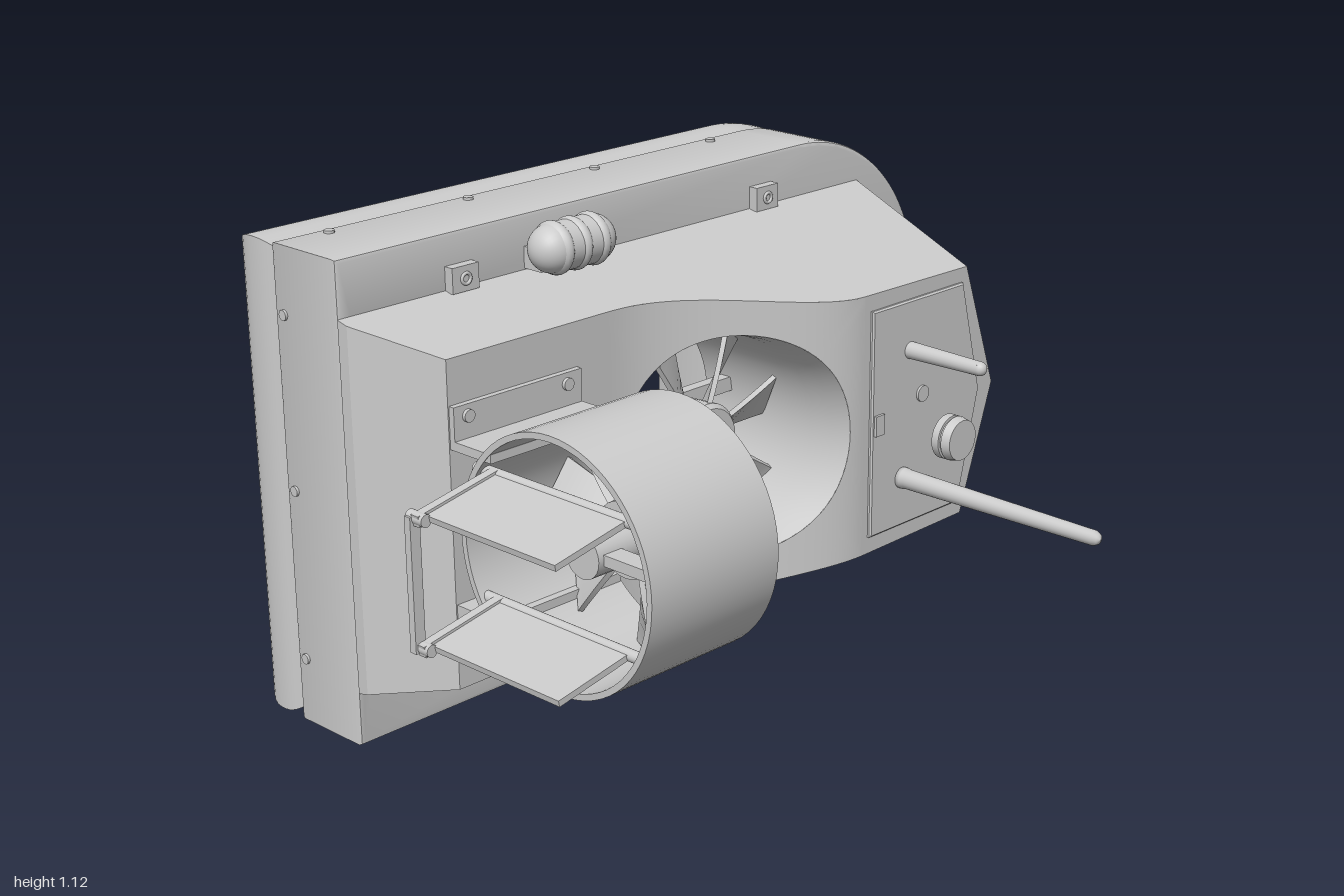
import * as THREE from 'three';
import { toCreasedNormals } from 'three/addons/utils/BufferGeometryUtils.js';
import { ConvexGeometry } from 'three/addons/geometries/ConvexGeometry.js';
import { ParametricGeometry } from 'three/addons/geometries/ParametricGeometry.js';

const grey = new THREE.MeshStandardMaterial({ color: 0xcccccc });
const shellGrey = new THREE.MeshStandardMaterial({ color: 0xcccccc, side: THREE.DoubleSide });
const { lerp, smoothstep } = THREE.MathUtils;
const V = (x, y, z) => new THREE.Vector3(x, y, z);

export function createModel() {
  const model = new THREE.Group();
  // The craft lies on its side: length along x, beam along y, its deck faces +z
  const craft = new THREE.Group();
  craft.name = 'hovercraft';
  craft.position.y = 0.555;
  model.add(craft);

  function add(name, geo, x = 0, y = 0, z = 0, parent = craft, mat = grey) {
    const m = new THREE.Mesh(geo, mat);
    m.name = name;
    m.position.set(x, y, z);
    parent.add(m);
    return m;
  }
  const box = (name, w, h, d, x, y, z, parent) => add(name, new THREE.BoxGeometry(w, h, d), x, y, z, parent);
  // cylinder standing on the deck, from z0 to z1
  const post = (name, r0, r1, z0, z1, x, y, parent) =>
    add(name, new THREE.CylinderGeometry(r1, r0, z1 - z0, 24).rotateX(Math.PI / 2), x, y, (z0 + z1) / 2, parent);
  const sheet = (name, fn, nu, nv) => add(name,
    toCreasedNormals(new ParametricGeometry((u, v, p) => p.set(...fn(u, v)), nu, nv), 0.5), 0, 0, 0, craft, shellGrey);

  // Plan outline: square stern, rounded bow
  function outline() {
    const s = new THREE.Shape();
    s.moveTo(-0.89, -0.555);
    s.lineTo(0.54, -0.555);
    s.absarc(0.54, -0.105, 0.45, -Math.PI / 2, 0);
    s.absarc(0.54, 0.105, 0.45, 0, Math.PI / 2);
    s.lineTo(-0.89, 0.555);
    s.closePath();
    return s;
  }
  const rectHole = (x0, x1, h) => new THREE.Path([[x0, -h], [x0, h], [x1, h], [x1, -h]].map(p => new THREE.Vector2(...p)));

  // Inflated skirt with a central slot
  const skirt = outline();
  skirt.holes.push(rectHole(-0.27, 0.5, 0.1));
  add('skirt', toCreasedNormals(new THREE.ExtrudeGeometry(skirt, {
    depth: 0.015, curveSegments: 20, bevelSize: 0.08, bevelThickness: 0.08, bevelOffset: -0.08, bevelSegments: 8,
  }), 0.6), 0, 0, -0.63);

  // Hull rim
  const rim = outline();
  rim.holes.push(rectHole(-0.84, 0.25, 0.39));
  add('hullRim', toCreasedNormals(new THREE.ExtrudeGeometry(rim, {
    depth: 0.195, curveSegments: 20, bevelSize: 0.01, bevelThickness: 0.01, bevelOffset: -0.01, bevelSegments: 2,
  }), 0.6), 0, 0, -0.545);

  // Screws round the rim
  const screw = (x, y, dx, dy) => {
    const m = add('rimScrew', new THREE.CylinderGeometry(0.012, 0.012, 0.012, 12), x, y, -0.522);
    m.quaternion.setFromUnitVectors(V(0, 1, 0), V(dx, dy, 0));
  };
  for (const s of [-1, 1]) {
    for (const x of [-0.76, -0.37, 0.02, 0.41]) screw(x, s * 0.555, 0, s);
    for (const a of [1.08, 0.52]) screw(0.54 + 0.45 * Math.cos(a), s * (0.105 + 0.45 * Math.sin(a)), Math.cos(a), s * Math.sin(a));
    screw(0.99, s * 0.1, 1, 0);
    screw(-0.89, s * 0.4, -1, 0);
  }
  screw(-0.89, 0, -1, 0);

  // Upper body: deck height along x, and half width of the sloping sides
  const deckZ = x => x < -0.8 ? lerp(-0.31, -0.105, (x + 0.89) / 0.09)
    : lerp(-0.105, 0.115, smoothstep(Math.pow(Math.max(0, (x + 0.35) / 0.61), 1.2), 0, 1));
  const halfW = z => 0.427 - 0.107 * (z + 0.34) / 0.455;
  const alongX = u => u < 0.05 ? lerp(-0.89, -0.8, u / 0.05) : lerp(-0.8, 0.26, (u - 0.05) / 0.95);
  for (const s of [-1, 1]) {
    sheet('bodySide', (u, v) => {
      const x = alongX(u), z = lerp(-0.34, deckZ(x), v);
      return [x, s * halfW(z), z];
    }, 40, 1);
  }
  sheet('sternWall', (u, v) => {
    const z = lerp(-0.34, -0.31, v);
    return [-0.89, lerp(-1, 1, u) * halfW(z), z];
  }, 1, 1);
  sheet('rearDeck', (u, v) => {
    const x = u < 0.5 ? lerp(-0.89, -0.8, u * 2) : lerp(-0.8, -0.36, u * 2 - 1), z = deckZ(x);
    return [x, lerp(-1, 1, v) * halfW(z), z];
  }, 4, 1);

  // Deck around the lift fan: blends the round opening into the rectangular edge
  const FX = -0.05, FR = 0.268;
  const edge = u => {
    const k = Math.min(3, Math.floor(u * 4)), t = u * 4 - k;
    const c = [[-0.36, -1], [0.26, -1], [0.26, 1], [-0.36, 1], [-0.36, -1]];
    const x = lerp(c[k][0], c[k + 1][0], t);
    return [x, lerp(c[k][1], c[k + 1][1], t) * halfW(deckZ(x))];
  };
  sheet('fanDeck', (u, v) => {
    const [ex, ey] = edge(u), a = Math.atan2(ey, ex - FX);
    const x = lerp(FX + FR * Math.cos(a), ex, v), y = lerp(FR * Math.sin(a), ey, v);
    return [x, y, deckZ(x)];
  }, 96, 10);
  sheet('fanDuct', (u, v) => {
    const a = u * Math.PI * 2, r = FR - 0.012 * Math.sin(Math.min(1, v * 4) * Math.PI / 2);
    const x = FX + r * Math.cos(a);
    return [x, r * Math.sin(a), lerp(deckZ(FX + FR * Math.cos(a)), -0.34, v)];
  }, 64, 8);

  // Faceted bow body
  const bow = [V(0.74, 0, 0.115), V(0.915, 0, -0.2)];
  for (const s of [-1, 1]) bow.push(
    V(0.26, s * 0.427, -0.34), V(0.75, s * 0.427, -0.34), V(0.915, s * 0.3, -0.34), V(0.915, s * 0.21, -0.2),
    V(0.26, s * 0.32, 0.115), V(0.63, s * 0.315, 0.115));
  add('bowBody', new ConvexGeometry(bow));

  // Bladed rotor, axis along z
  function rotor(name, radius, x, z) {
    const g = new THREE.Group();
    g.name = name;
    g.position.set(x, 0, z);
    craft.add(g);
    const hub = [[0.018, -0.05], [0.085, -0.05], [0.09, 0.04], [0.08, 0.052], [0.018, 0.052], [0.018, -0.05]];
    add('hub', toCreasedNormals(new THREE.LatheGeometry(hub.map(p => new THREE.Vector2(...p)), 32).rotateX(Math.PI / 2), 0.6),
      0, 0, 0, g, shellGrey);
    const len = radius - 0.07;
    const blade = new THREE.BoxGeometry(len, 1, 0.012, 8, 1, 1), p = blade.attributes.position;
    for (let i = 0; i < p.count; i++) {
      const t = p.getX(i) / len + 0.5, chord = p.getY(i) * lerp(0.085, 0.125, t), th = p.getZ(i);
      const a = lerp(0.9, 0.5, t);
      p.setXYZ(i, 0.07 + t * len, chord * Math.cos(a) - th * Math.sin(a), chord * Math.sin(a) + th * Math.cos(a));
    }
    blade.computeVertexNormals();
    for (let i = 0; i < 7; i++) add('blade', blade, 0, 0, 0, g).rotation.z = -1.62 + i * Math.PI * 2 / 7;
    return g;
  }
  rotor('liftFan', 0.252, FX, -0.13);
  box('fanMotorStrut', 0.54, 0.035, 0.03, FX, 0.04, -0.27);
  post('fanMotor', 0.05, 0.05, -0.28, -0.17, FX, 0);

  // Thrust duct and propeller, axis along x
  const PZ = 0.203;
  const wall = [[0.268, -0.182], [0.282, -0.182], [0.282, 0.182], [0.268, 0.182], [0.268, -0.182]];
  add('thrustDuct', toCreasedNormals(new THREE.LatheGeometry(wall.map(p => new THREE.Vector2(...p)), 64).rotateZ(-Math.PI / 2), 0.6),
    -0.617, 0, PZ, craft, shellGrey);
  rotor('propeller', 0.262, -0.55, PZ).rotation.set(0, Math.PI / 2, 0);
  add('propellerMotor', new THREE.CylinderGeometry(0.05, 0.05, 0.14, 24).rotateZ(Math.PI / 2), -0.65, 0, PZ);
  box('motorStrut', 0.05, 0.025, 0.54, -0.68, 0, PZ);
  for (const s of [-1, 1]) {
    box('ductBracket', 0.36, 0.02, 0.13, -0.617, s * 0.185, -0.045);
    box('ductFoot', 0.36, 0.08, 0.015, -0.617, s * 0.23, -0.098);
    for (const x of [-0.76, -0.48]) post('footScrew', 0.014, 0.014, -0.1, -0.082, x, s * 0.245);
  }

  // Twin rudders with pins, joined by a tie rod
  for (const y of [0.125, -0.16]) {
    const g = new THREE.Group();
    g.name = 'rudder';
    g.position.set(-0.775, y + 0.02, 0);
    g.rotation.z = 0.19;
    craft.add(g);
    box('rudderBlade', 0.2, 0.014, 0.38, -0.1, 0, 0.21, g);
    box('rudderArm', 0.22, 0.026, 0.022, -0.11, 0, 0.01, g);
    post('rudderPin', 0.013, 0.013, -0.05, 0.43, 0, 0, g);
    post('tieRodPin', 0.014, 0.014, -0.02, 0.03, -0.208, 0, g);
  }
  box('tieRod', 0.026, 0.3, 0.018, -0.985, -0.04, -0.008);
  box('rudderServo', 0.08, 0.06, 0.05, -0.835, 0.09, 0);

  // Ribbed side fenders on mounts, and lashing tabs
  for (const s of [-1, 1]) {
    const y = s * 0.495;
    add('fender', new THREE.CapsuleGeometry(0.056, 0.115, 10, 28).rotateZ(Math.PI / 2), -0.315, y, -0.243);
    for (let i = -1; i <= 1; i++)
      add('fenderRib', new THREE.SphereGeometry(0.061, 24, 16).scale(0.5, 1, 1), -0.315 + i * 0.055, y, -0.243);
    box('fenderMount', 0.11, 0.05, 0.06, -0.315, s * 0.455, -0.315);
    for (const x of [-0.56, 0.395]) {
      box('lashingTab', 0.075, 0.058, 0.025, x, s * 0.452, -0.328);
      add('tabEye', new THREE.TorusGeometry(0.012, 0.004, 8, 20), x, s * 0.452, -0.314);
    }
  }

  // Control panel with its fittings
  const panel = new THREE.Shape([[0.28, -0.278], [0.61, -0.278], [0.68, 0], [0.61, 0.28], [0.28, 0.28]].map(p => new THREE.Vector2(...p)));
  add('controlPanel', new THREE.ExtrudeGeometry(panel, {
    depth: 0.006, bevelSize: 0.004, bevelThickness: 0.004, bevelOffset: -0.004, bevelSegments: 1,
  }), 0, 0, 0.114);
  const antenna = [[0, 0], [0.026, 0], [0.026, 0.02], [0.024, 0.03], [0.018, 0.57], [0.012, 0.582], [0, 0.587]];
  add('antenna', new THREE.LatheGeometry(antenna.map(p => new THREE.Vector2(...p)), 24).rotateX(Math.PI / 2), 0.393, -0.155, 0.115);
  post('lever', 0.021, 0.017, 0.115, 0.33, 0.415, 0.158);
  add('leverTip', new THREE.SphereGeometry(0.017, 16, 10), 0.415, 0.158, 0.33);
  post('knobStem', 0.02, 0.02, 0.115, 0.16, 0.53, -0.08);
  post('knobLower', 0.055, 0.055, 0.145, 0.165, 0.53, -0.08);
  post('knobWaist', 0.048, 0.048, 0.16, 0.18, 0.53, -0.08);
  post('knobUpper', 0.055, 0.05, 0.173, 0.196, 0.53, -0.08);
  post('button', 0.02, 0.02, 0.115, 0.13, 0.46, 0.04);
  box('toggle', 0.03, 0.05, 0.012, 0.303, 0, 0.125);

  return model;
}
